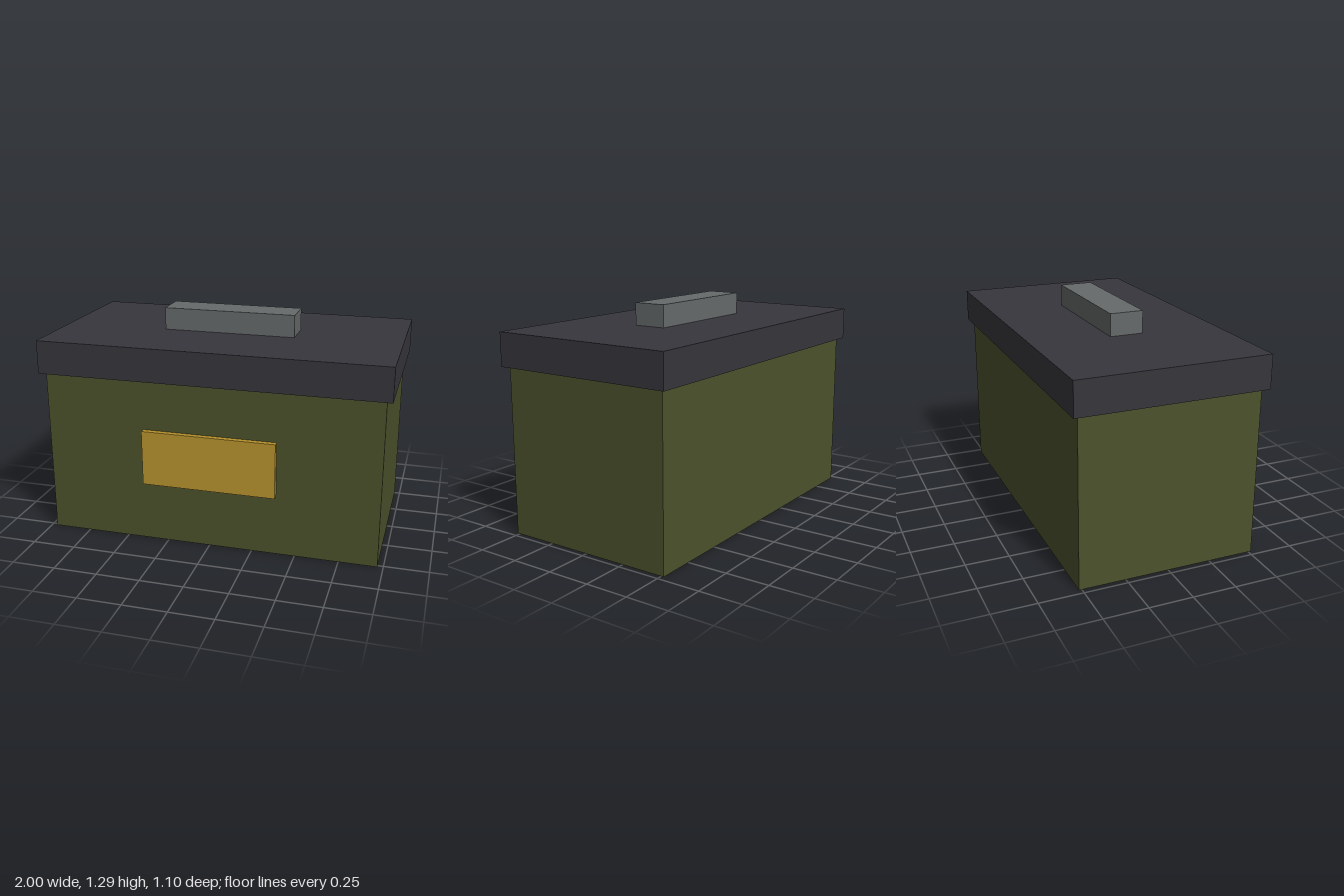
import * as THREE from 'three';

function material(name, color) {
  const m = new THREE.MeshStandardMaterial({ color });
  m.name = name;
  return m;
}

export function createModel() {
  const group = new THREE.Group();
  group.name = 'storageBox';

  const olive = material('olive green', 0x4b522c);
  const charcoal = material('charcoal', 0x37363c);
  const grey = material('metal grey', 0x666a6a);
  const yellow = material('label yellow', 0xb8932d);

  // Box spanning y0..y1 and z0..z1, centred on x
  const addBox = (name, mat, width, y0, y1, z0, z1) => {
    const mesh = new THREE.Mesh(new THREE.BoxGeometry(width, y1 - y0, z1 - z0), mat);
    mesh.name = name;
    mesh.position.set(0, (y0 + y1) / 2, (z0 + z1) / 2);
    group.add(mesh);
  };

  addBox('body', olive, 1.935, 0, 0.968, -0.516, 0.516);
  // Lid overhangs the body on all sides
  addBox('lid', charcoal, 2, 0.968, 1.161, -0.548, 0.548);
  addBox('handle', grey, 0.774, 1.161, 1.29, -0.097, 0.097);
  // Raised label on the front only
  addBox('frontLabel', yellow, 0.774, 0.355, 0.677, 0.516, 0.548);

  return group;
}
